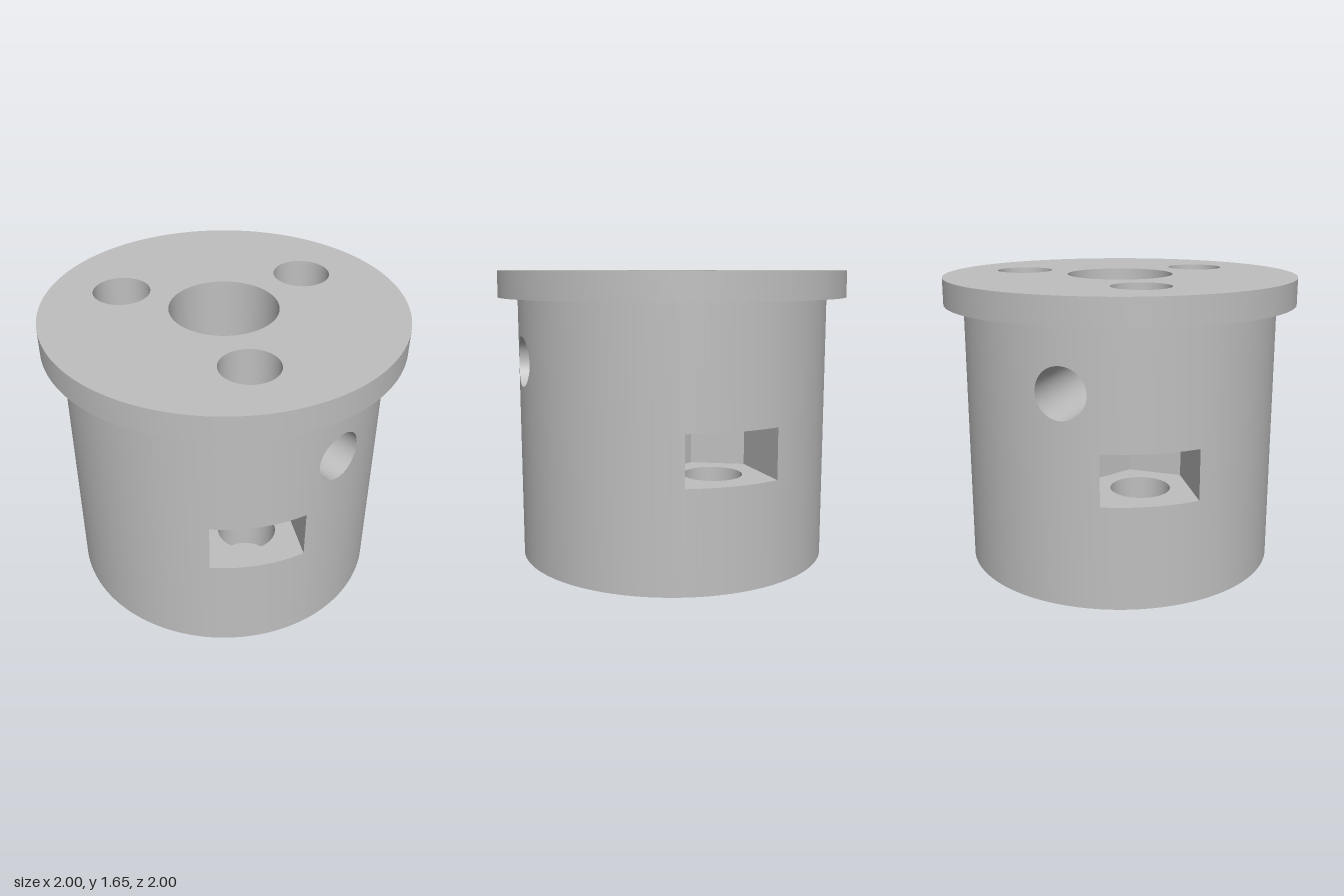
import * as THREE from 'three';
import { toCreasedNormals } from 'three/addons/utils/BufferGeometryUtils.js';

const R = 0.89, FLANGE = 1, BORE = 0.3;              // radii
const FLANGE_Y = 1.5, TOP = 1.65;
const SCREW = { r: 0.16, at: 0.6, bottom: 0.3 };
const POCKET = { half: 0.26, back: 0.45, apex: 0.302, lo: 0.57, hi: 0.85 };
const CROSS = { r: 0.14, y: 1.15 };
const DIRS = [Math.PI / 6, Math.PI * 5 / 6, Math.PI * 3 / 2];
const TAU = Math.PI * 2;

export function createModel() {
  const group = new THREE.Group();
  const grey = new THREE.MeshStandardMaterial({ color: 0xbfbfbf });
  grey.name = 'plain grey';

  const add = (name, geometry) => {
    const mesh = new THREE.Mesh(geometry, grey);
    mesh.name = name;
    group.add(mesh);
  };

  // Surface from quads of four corners
  const sheet = (name, quads, flip = false) => {
    const pos = [];
    for (const q of quads)
      for (const i of flip ? [0, 2, 1, 0, 3, 2] : [0, 1, 2, 0, 2, 3]) pos.push(...q[i]);
    const g = new THREE.BufferGeometry();
    g.setAttribute('position', new THREE.Float32BufferAttribute(pos, 3));
    add(name, toCreasedNormals(g, 0.5));
  };

  // Upright round wall; gap(mid, a) gives the opening's [low, high] at angle a
  const wall = (name, r, y0, y1, { cx = 0, cz = 0, inward = false, gap, extra = [], n = 128 } = {}) => {
    const angles = Array.from({ length: n + 1 }, (_, i) => i / n * TAU);
    angles.push(...extra.map(a => (a + TAU) % TAU));
    angles.sort((a, b) => a - b);
    const pt = (a, y) => [cx + r * Math.cos(a), y, cz + r * Math.sin(a)];
    const quads = [];
    for (let i = 0; i + 1 < angles.length; i++) {
      const a = angles[i], b = angles[i + 1], mid = (a + b) / 2;
      if (b - a < 1e-5) continue;
      const band = (la, ha, lb, hb) => quads.push([pt(a, la), pt(a, ha), pt(b, hb), pt(b, lb)]);
      const ga = gap && gap(mid, a);
      if (!ga) { band(y0, y1, y0, y1); continue; }
      const gb = gap(mid, b);
      band(y0, ga[0], y0, gb[0]);
      band(ga[1], y1, gb[1], y1);
    }
    sheet(name, quads, inward);
  };

  // Level face from a shape drawn in x and z
  const plate = (name, shape, y, up) => {
    const g = new THREE.ShapeGeometry(shape, 64).rotateX(Math.PI / 2).translate(0, y, 0);
    if (up) {
      g.index.array.reverse();
      g.computeVertexNormals();
    }
    add(name, g);
  };
  const circle = (r, x = 0, z = 0) => new THREE.Shape().absarc(x, z, r, 0, TAU, false);
  const screwCentre = d => [SCREW.at * Math.cos(d), SCREW.at * Math.sin(d)];
  const screwCircle = d => circle(SCREW.r, ...screwCentre(d));
  const withHoles = (shape, ...holes) => { shape.holes.push(...holes); return shape; };

  // Openings in the round walls
  const crossGap = r => (mid, a) => {
    if (Math.abs(r * Math.sin(mid)) >= CROSS.r) return null;
    const h = Math.sqrt(Math.max(0, CROSS.r ** 2 - (r * Math.sin(a)) ** 2));
    return [CROSS.y - h, CROSS.y + h];
  };
  const crossAngles = r => Array.from({ length: 25 }, (_, i) =>
    Math.asin(CROSS.r * Math.cos(i / 24 * Math.PI) / r)).flatMap(a => [a, Math.PI - a]);
  const mouth = Math.asin(POCKET.half / R);
  const bodyGap = (mid, a) => DIRS.some(d => Math.abs(mid - d) < mouth)
    ? [POCKET.lo, POCKET.hi] : crossGap(R)(mid, a);

  // Body and flange
  wall('bodyWall', R, 0, FLANGE_Y, {
    gap: bodyGap, extra: [...crossAngles(R), ...DIRS.flatMap(d => [d - mouth, d + mouth])],
  });
  wall('flangeRim', FLANGE, FLANGE_Y, TOP);
  wall('boreWall', BORE, 0, TOP, { inward: true, gap: crossGap(BORE), extra: crossAngles(BORE) });
  plate('bottomFace', withHoles(circle(R), circle(BORE)), 0, false);
  plate('flangeUnderside', withHoles(circle(FLANGE), circle(R)), FLANGE_Y, false);
  plate('topFace', withHoles(circle(FLANGE), circle(BORE), ...DIRS.map(screwCircle)), TOP, true);

  // Screw holes, each crossing a nut pocket open to the outside
  for (const d of DIRS) {
    const [cx, cz] = screwCentre(d);
    const opts = { cx, cz, inward: true, n: 64 };
    wall('upperScrewHole', SCREW.r, POCKET.hi, TOP, opts);
    wall('lowerScrewHole', SCREW.r, SCREW.bottom, POCKET.lo, opts);
    plate('screwHoleEnd', screwCircle(d), SCREW.bottom, true);

    const turn = (u, v) => [u * Math.cos(d) - v * Math.sin(d), u * Math.sin(d) + v * Math.cos(d)];
    const { half, back, apex, lo, hi } = POCKET;
    const rim = R * Math.cos(mouth);
    const path = [[rim, -half], [back, -half], [apex, 0], [back, half], [rim, half]].map(p => turn(...p));
    sheet('nutPocketWalls', path.slice(1).map(([x1, z1], i) => {
      const [x0, z0] = path[i];
      return [[x0, lo, z0], [x0, hi, z0], [x1, hi, z1], [x1, lo, z1]];
    }));
    const outline = () => {
      const pts = path.map(p => new THREE.Vector2(...p));
      for (let i = 1; i < 16; i++) {
        const a = d + mouth * (1 - i / 8);
        pts.push(new THREE.Vector2(R * Math.cos(a), R * Math.sin(a)));
      }
      return withHoles(new THREE.Shape(pts), screwCircle(d));
    };
    plate('nutPocketFloor', outline(), lo, true);
    plate('nutPocketCeiling', outline(), hi, false);
  }

  // Cross hole from the bore to both sides
  for (const s of [1, -1]) {
    const quads = [];
    const pt = (r, i) => {
      const p = i / 48 * TAU, z = CROSS.r * Math.cos(p);
      return [s * Math.sqrt(r * r - z * z), CROSS.y + CROSS.r * Math.sin(p), z];
    };
    for (let i = 0; i < 48; i++) quads.push([pt(BORE, i), pt(R, i), pt(R, i + 1), pt(BORE, i + 1)]);
    sheet(s > 0 ? 'leftCrossHole' : 'rightCrossHole', quads, s > 0);
  }
  return group;
}
